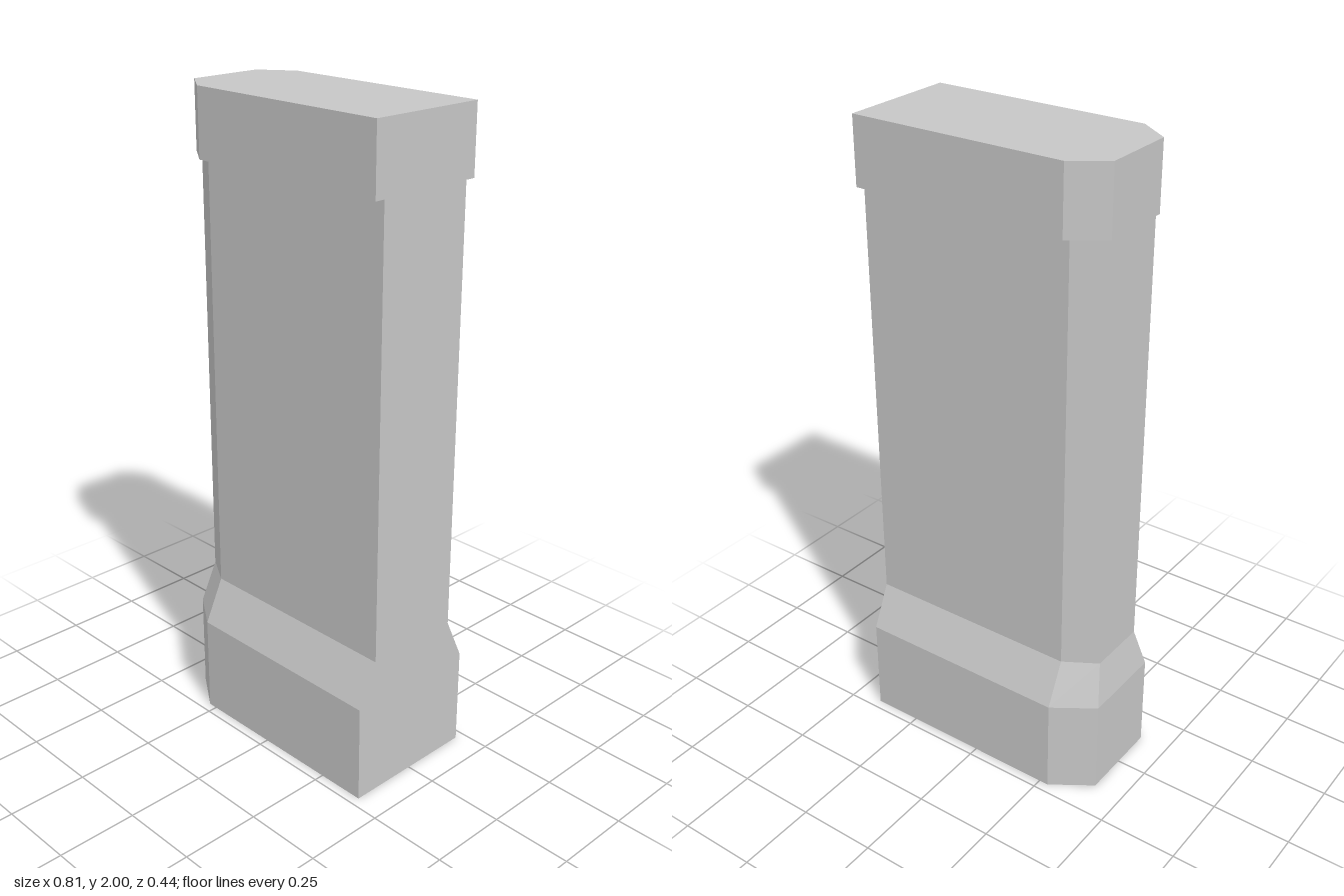
import * as THREE from 'three';

const stone = new THREE.MeshStandardMaterial({ color: 0xc6c6c6 });
stone.name = 'grey stone';

const BACK = 0.404, SHOULDER = -0.28;

// Six-sided outline: flat end at +x, bevelled nose at -x
function ring(y, nose, half, noseHalf) {
  return [
    [BACK, half], [BACK, -half], [SHOULDER, -half],
    [nose, -noseHalf], [nose, noseHalf], [SHOULDER, half],
  ].map(([x, z]) => new THREE.Vector3(x, y, z));
}

// Flat-faced skin through a stack of rings, with optional end faces
function loft(name, rings, { bottom = false, top = false } = {}) {
  const points = [];
  const n = rings[0].length;
  for (let k = 0; k < rings.length - 1; k++) {
    const lower = rings[k], upper = rings[k + 1];
    for (let i = 0; i < n; i++) {
      const j = (i + 1) % n;
      // a level step has no area along the flush +x end
      if (i === 0 && lower[0].y === upper[0].y) continue;
      points.push(lower[i], lower[j], upper[j], lower[i], upper[j], upper[i]);
    }
  }
  const first = rings[0], last = rings[rings.length - 1];
  for (let i = 1; i < n - 1; i++) {
    if (bottom) points.push(first[0], first[i + 1], first[i]);
    if (top) points.push(last[0], last[i], last[i + 1]);
  }
  const geometry = new THREE.BufferGeometry().setFromPoints(points);
  geometry.computeVertexNormals();
  const mesh = new THREE.Mesh(geometry, stone);
  mesh.name = name;
  return mesh;
}

export function createModel() {
  const model = new THREE.Group();
  model.name = 'pier';

  const ground = ring(0, -0.404, 0.22, 0.136);
  const baseTop = ring(0.31, -0.404, 0.22, 0.136);
  const shaftBottom = ring(0.445, -0.38, 0.157, 0.097);
  const shaftTop = ring(1.795, -0.38, 0.157, 0.097);
  const capBottom = ring(1.795, -0.38, 0.189, 0.117);
  const capTop = ring(2, -0.38, 0.189, 0.117);

  model.add(
    loft('base', [ground, baseTop], { bottom: true }),
    loft('baseSlope', [baseTop, shaftBottom]),
    loft('shaft', [shaftBottom, shaftTop]),
    // the cap starts with its overhanging underside
    loft('cap', [shaftTop, capBottom, capTop], { top: true }),
  );
  return model;
}
